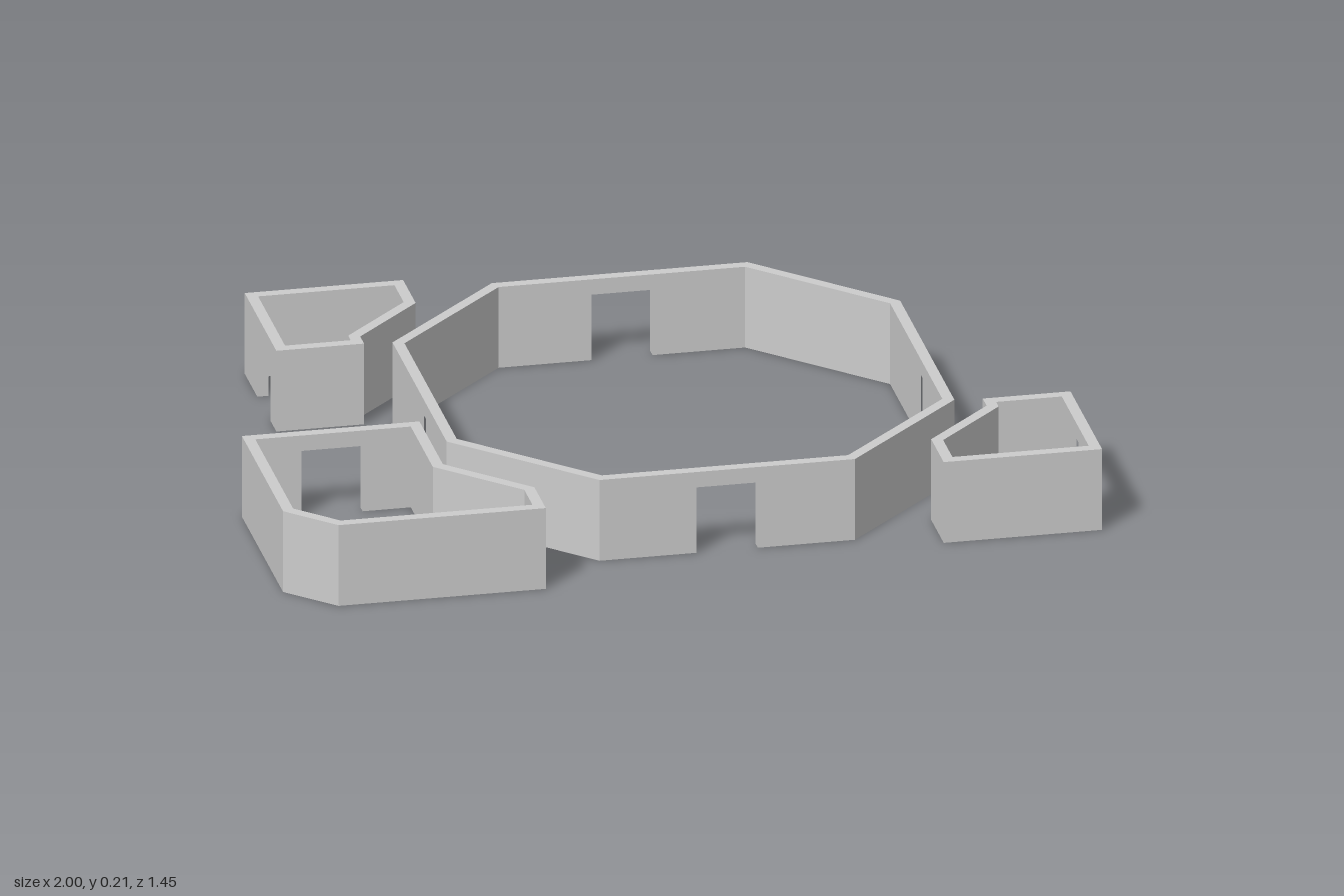
import * as THREE from 'three';
import { mergeGeometries } from 'three/addons/utils/BufferGeometryUtils.js';

const HEIGHT = 0.21, THICK = 0.027, DOOR_H = 0.17, DOOR_W = 0.15;

// One wall from a to b, with mitred ends and an optional doorway starting at `door`
function wall(prev, a, b, next, door) {
  const dir = (p, q) => q.clone().sub(p).normalize();
  const e = dir(a, b), len = a.distanceTo(b);
  const mitre = (d1, d2) => THICK * Math.tan(Math.atan2(d1.cross(d2), d1.dot(d2)) / 2);
  const startCut = mitre(dir(prev, a), e), endCut = mitre(e, dir(b, next));

  const s = new THREE.Shape();
  s.moveTo(0, 0);
  if (door !== undefined) {
    s.lineTo(door, 0);
    s.lineTo(door, DOOR_H);
    s.lineTo(door + DOOR_W, DOOR_H);
    s.lineTo(door + DOOR_W, 0);
  }
  s.lineTo(len, 0);
  s.lineTo(len, HEIGHT);
  s.lineTo(0, HEIGHT);
  const g = new THREE.ExtrudeGeometry(s, { depth: THICK, bevelEnabled: false });

  // Slide the inner end corners along the wall to form the mitres
  const p = g.attributes.position;
  for (let i = 0; i < p.count; i++) {
    if (p.getZ(i) < THICK / 2) continue;
    const u = p.getX(i);
    if (u < 1e-5) p.setX(i, startCut);
    else if (u > len - 1e-5) p.setX(i, len - endCut);
  }
  g.computeVertexNormals();
  const along = new THREE.Vector3(e.x, 0, e.y), up = new THREE.Vector3(0, 1, 0);
  const m = new THREE.Matrix4().makeBasis(along, up, along.clone().cross(up));
  return g.applyMatrix4(m.setPosition(a.x, 0, a.y));
}

// Closed ring of walls; points are outer [x, z] corners, doors maps wall index to offset
function enclosure(name, points, doors, material) {
  const v = points.map(([x, z]) => new THREE.Vector2(x, z));
  const n = v.length;
  const walls = v.map((a, i) =>
    wall(v[(i + n - 1) % n], a, v[(i + 1) % n], v[(i + 2) % n], doors[i]));
  const mesh = new THREE.Mesh(mergeGeometries(walls), material);
  mesh.name = name;
  return mesh;
}

export function createModel() {
  const group = new THREE.Group();
  group.name = 'walledRooms';
  const grey = new THREE.MeshStandardMaterial({ color: 0xcccccc });
  grey.name = 'wall grey';

  // Central octagonal hall with a centred doorway in each straight side
  const cx = 0.095, cz = -0.04, half = 0.622, side = 0.313;
  const hall = [
    [-side, -half], [side, -half], [half, -side], [half, side],
    [side, half], [-side, half], [-half, side], [-half, -side],
  ].map(([x, z]) => [cx + x, cz + z]);
  const mid = side - DOOR_W / 2;
  group.add(enclosure('octagonalHall', hall, { 0: mid, 2: mid, 4: mid, 6: mid }, grey));

  // Two small rooms, the second turned half round about the hall's centre
  const small = [[0.785, 0.28], [1, 0.28], [1, 0.645], [0.612, 0.645], [0.612, 0.5], [0.785, 0.325]];
  const frontRoom = enclosure('smallRoomFront', small, { 1: 0.07 }, grey);
  const backRoom = frontRoom.clone();
  backRoom.name = 'smallRoomBack';
  backRoom.rotation.y = Math.PI;
  backRoom.position.set(2 * cx, 0, 2 * cz);
  group.add(frontRoom, backRoom);

  // Large side room with a doorway at the back
  const large = [[-1, 0.138], [-0.565, 0.138], [-0.565, 0.408], [-0.38, 0.593],
    [-0.38, 0.725], [-0.888, 0.725], [-1, 0.613]];
  group.add(enclosure('largeRoom', large, { 0: 0.14 }, grey));

  return group;
}
